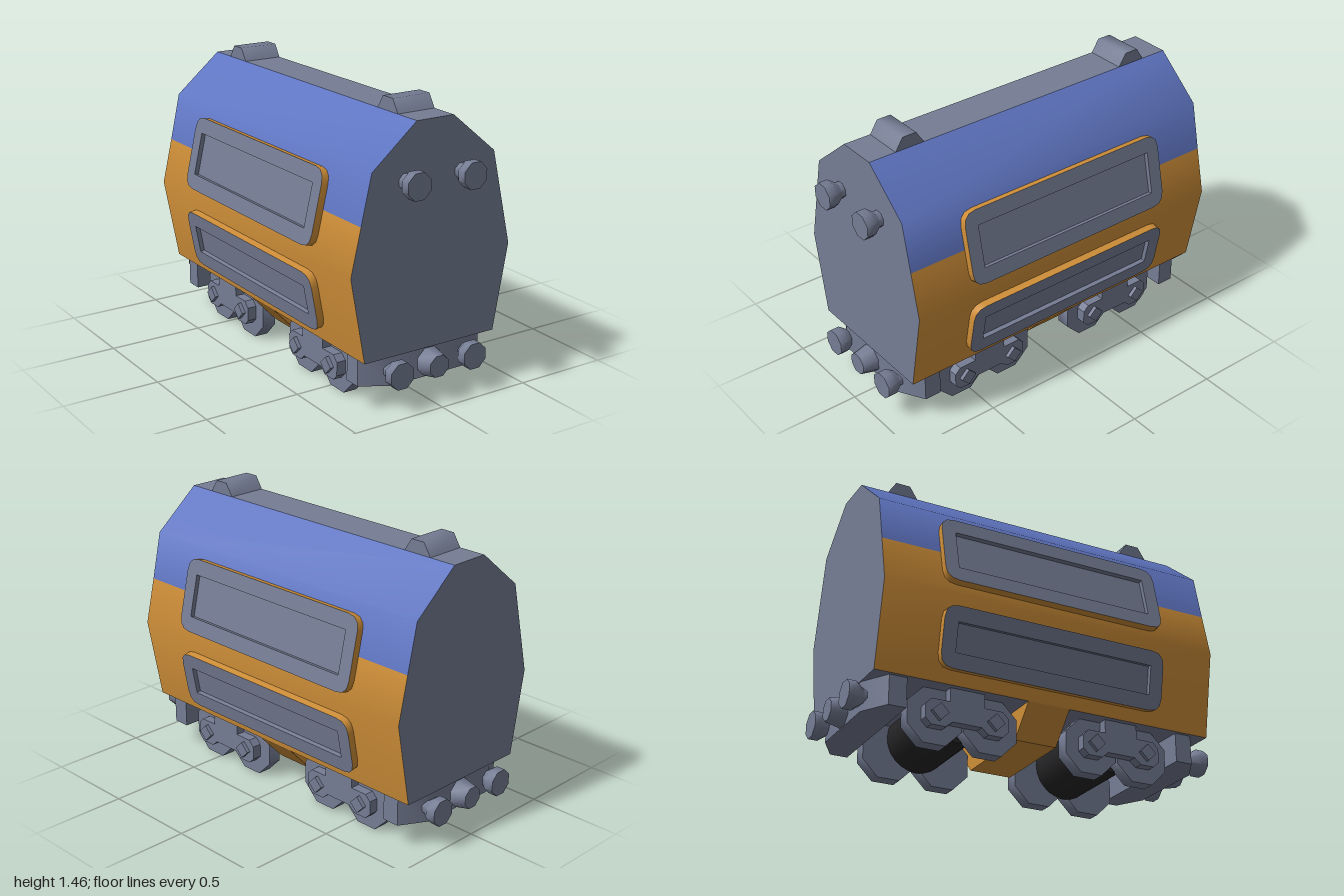
import * as THREE from 'three';
import { toCreasedNormals, mergeVertices } from 'three/addons/utils/BufferGeometryUtils.js';

const mat = (name, color, side = THREE.FrontSide) => {
  const m = new THREE.MeshStandardMaterial({ color, side });
  m.name = name;
  return m;
};

export function createModel() {
  const grey = mat('steel grey', 0x757d94);
  const blue = mat('roof blue', 0x5f75c2);
  const orange = mat('side orange', 0xce8e38);
  const black = mat('underframe black', 0x262628);

  const root = new THREE.Group();
  root.name = 'railCar';
  const car = new THREE.Group();
  car.name = 'car';
  car.position.z = -0.015;
  root.add(car);

  const add = (parent, name, geo, material, x = 0, y = 0, z = 0) => {
    const m = new THREE.Mesh(geo, material);
    m.name = name;
    m.position.set(x, y, z);
    parent.add(m);
    return m;
  };
  const shapeOf = pts => new THREE.Shape(pts.map(p => new THREE.Vector2(...p)));
  const extrude = (shape, depth) =>
    new THREE.ExtrudeGeometry(shape, { depth, bevelEnabled: false, curveSegments: 3 });

  // Body skin: a strip of the cross-section swept along z, smooth across its folds
  const HALF = 0.91;
  const strip = pts => {
    const pos = [], idx = [];
    pts.forEach(([x, y], i) => {
      pos.push(x, y, HALF, x, y, -HALF);
      if (i) {
        const a = 2 * i - 2;
        idx.push(a, a + 2, a + 1, a + 1, a + 2, a + 3);
      }
    });
    const g = new THREE.BufferGeometry();
    g.setAttribute('position', new THREE.Float32BufferAttribute(pos, 3));
    g.setIndex(idx);
    g.computeVertexNormals();
    return g;
  };
  const top = [0.105, 1.395], shoulder = [0.35, 1.19], split = [0.405, 0.945];
  const waist = [0.46, 0.71], foot = [0.38, 0.275];
  const flip = ([x, y]) => [-x, y];
  add(car, 'roofWalk', strip([flip(top), top]), grey);
  add(car, 'floor', strip([foot, flip(foot)]), grey);
  const endShape = shapeOf([top, flip(top), flip(shoulder), flip(waist), flip(foot), foot, waist, shoulder]);
  add(car, 'frontWall', new THREE.ShapeGeometry(endShape), grey, 0, 0, HALF);
  add(car, 'rearWall', new THREE.ShapeGeometry(endShape), grey, 0, 0, -HALF).rotation.y = Math.PI;

  // Side panel: orange-edged frame round a sunken grey plate
  const roundRect = (w, h, r) => {
    const s = new THREE.Shape(), x = w / 2, y = h / 2;
    s.moveTo(-x + r, -y);
    s.lineTo(x - r, -y); s.quadraticCurveTo(x, -y, x, -y + r);
    s.lineTo(x, y - r); s.quadraticCurveTo(x, y, x - r, y);
    s.lineTo(-x + r, y); s.quadraticCurveTo(-x, y, -x, y - r);
    s.lineTo(-x, -y + r); s.quadraticCurveTo(-x, -y, -x + r, -y);
    return s;
  };
  const rect = (w, h) => [[-w, -h], [w, -h], [w, h], [-w, h]].map(([x, y]) => [x / 2, y / 2]);
  const panel = (parent, name, x, y, h, holeH, tilt) => {
    const g = new THREE.Group();
    g.name = name;
    g.rotation.order = 'YXZ';
    g.rotation.set(tilt, Math.PI / 2, 0);
    g.position.set(x, y, 0);
    parent.add(g);
    const rim = roundRect(1.21, h, 0.07);
    rim.holes.push(shapeOf(rect(1.068, holeH + 0.003)));
    add(g, 'panelFrame', toCreasedNormals(extrude(rim, 0.037), 0.7), [grey, orange]);
    const lining = shapeOf(rect(1.068, holeH + 0.003));
    lining.holes.push(shapeOf(rect(1.064, holeH)));
    add(g, 'panelLining', extrude(lining, 0.037), grey);
    add(g, 'panelPlate', new THREE.PlaneGeometry(1.066, holeH), grey, 0, 0, 0.014);
  };

  // Both sides are the same half, turned about y
  for (const [name, turn] of [['leftSide', 0], ['rightSide', Math.PI]]) {
    const side = new THREE.Group();
    side.name = name;
    side.rotation.y = turn;
    car.add(side);
    // Each skin runs upward so its outside faces +x
    add(side, 'upperSkin', strip([top, shoulder, split]), blue);
    add(side, 'lowerSkin', strip([split, waist, foot]), orange);
    panel(side, 'upperPanel', 0.408, 0.948, 0.38, 0.22, -0.226);
    panel(side, 'lowerPanel', 0.422, 0.493, 0.307, 0.15, 0.182);
  }

  // Octagonal turned part lying along z: [radius, z] profile
  const turned = profile => {
    const g = new THREE.LatheGeometry(profile.map(p => new THREE.Vector2(...p)), 8, Math.PI / 8);
    g.rotateX(Math.PI / 2);
    return toCreasedNormals(g, 0.9);
  };
  const knob = (l, r) => turned([[0, 0], [r * 0.6, 0], [r * 0.6, l * 0.2], [r, l * 0.55], [r, l], [0, l]]);

  // Vent on the roof, end sill and buffers, repeated at both ends
  const vent = extrude(shapeOf([[-0.08, 0], [0.08, 0], [0.038, 0.065], [-0.038, 0.065]]), 0.21);
  vent.translate(0, 0, -0.105).rotateY(Math.PI / 2);
  const sill = extrude(shapeOf([[-0.36, 0.735], [0.36, 0.735], [0.36, 0.825], [0.22, 0.905], [-0.22, 0.905], [-0.36, 0.825]]), 0.15);
  sill.rotateX(Math.PI / 2); // plan y becomes z, depth runs down
  for (const [name, turn] of [['frontEnd', 0], ['rearEnd', Math.PI]]) {
    const end = new THREE.Group();
    end.name = name;
    end.rotation.y = turn;
    car.add(end);
    add(end, 'roofVent', toCreasedNormals(vent, 1.0), grey, 0, 1.395, 0.685);
    add(end, 'endSill', toCreasedNormals(sill, 0.7), grey, 0, 0.275, 0);
    for (const x of [-0.215, 0.215]) add(end, 'buffer', knob(0.105, 0.07), grey, x, 0.2, 0.88);
    add(end, 'coupler', turned([[0, 0], [0.077, 0], [0.058, 0.085], [0, 0.085]]), grey, 0, 0.2, 0.9);
  }
  for (const x of [-0.16, 0.16]) add(car, 'headLamp', knob(0.105, 0.07), grey, x, 1.12, HALF);

  // Wheel trucks
  const wheel = new THREE.CylinderGeometry(0.1515, 0.1515, 0.073, 8);
  wheel.rotateY(Math.PI / 8).rotateZ(Math.PI / 2);
  const drum = new THREE.CylinderGeometry(0.16, 0.16, 0.47, 24).rotateZ(Math.PI / 2);
  const frameShape = shapeOf([
    [-0.185, 0.075], [-0.11, 0.075], [-0.075, 0.105], [0.075, 0.105], [0.11, 0.075], [0.185, 0.075],
    [0.215, 0.105], [0.215, 0.175], [0.185, 0.205], [0.09, 0.205], [0.09, 0.275],
    [-0.09, 0.275], [-0.09, 0.205], [-0.185, 0.205], [-0.215, 0.175], [-0.215, 0.105],
  ]);
  const frame = extrude(frameShape, 0.055).rotateY(Math.PI / 2);
  const bolt = new THREE.BoxGeometry(0.03, 0.062, 0.062).rotateX(Math.PI / 4);
  for (const z of [0.42, -0.42]) {
    const truck = new THREE.Group();
    truck.name = 'truck';
    truck.position.z = z;
    car.add(truck);
    add(truck, 'drum', drum, black, 0, 0.215, 0);
    for (const s of [-1, 1]) {
      add(truck, 'sideFrame', frame, grey, s > 0 ? 0.295 : -0.35, 0, 0);
      for (const dz of [-0.145, 0.145]) {
        add(truck, 'wheel', toCreasedNormals(wheel, 0.9), grey, s * 0.264, 0.14, dz);
        add(truck, 'axleBolt', bolt, grey, s * 0.355, 0.14, dz);
      }
    }
  }

  // Belly tank with sloping sides
  const tank = extrude(shapeOf([[-0.38, 0.275], [-0.24, 0.125], [0.24, 0.125], [0.38, 0.275]]), 0.225);
  add(car, 'bellyTank', tank, orange, 0, 0, -0.1125);

  return root;
}
